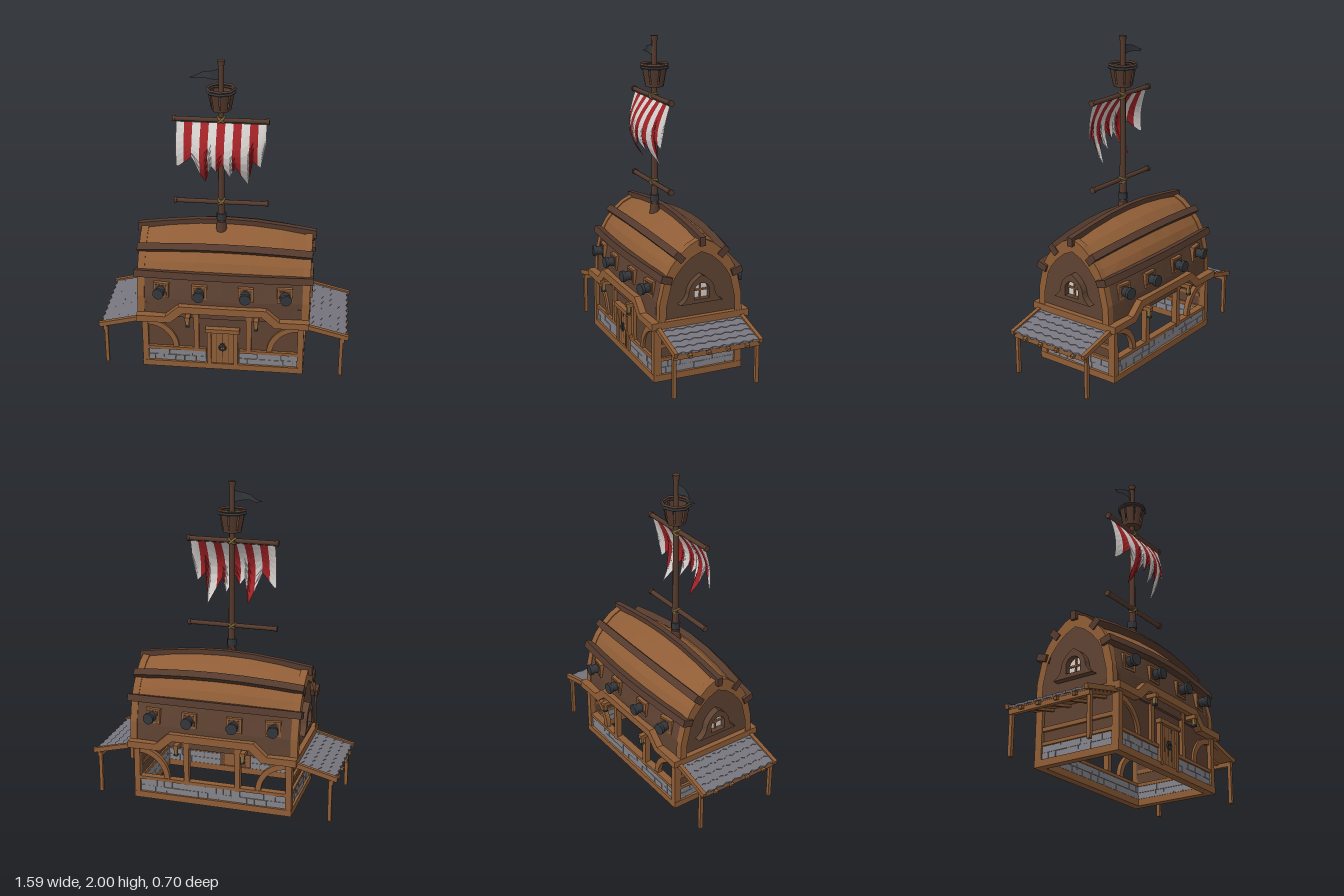
import * as THREE from 'three';

const mat = (name, color) => Object.assign(new THREE.MeshStandardMaterial({ color }), { name });

export function createModel() {
  const root = new THREE.Group();
  root.name = 'shipTavern';
  const M = {
    tan: mat('oakTrim', 0x8f5d36), wall: mat('darkPlank', 0x5e4232), beam: mat('darkBeam', 0x553a2d),
    stone: mat('stone', 0x85848a), mortar: mat('mortar', 0x55545a), tile: mat('slate', 0x77757d),
    iron: mat('iron', 0x33373b), red: mat('redCloth', 0xa02226), white: mat('paleCloth', 0xd2cecb),
    gold: mat('brass', 0x857040),
  };
  for (const m of [M.red, M.white, M.iron, M.beam]) m.side = THREE.DoubleSide;

  const add = (name, geo, m, x = 0, y = 0, z = 0) => {
    const mesh = new THREE.Mesh(geo, m);
    mesh.name = name;
    mesh.position.set(x, y, z);
    root.add(mesh);
    return mesh;
  };
  // box given by its min and max corners
  const box = (name, m, x0, x1, y0, y1, z0, z1) =>
    add(name, new THREE.BoxGeometry(Math.abs(x1 - x0), y1 - y0, Math.abs(z1 - z0)), m, (x0 + x1) / 2, (y0 + y1) / 2, (z0 + z1) / 2);
  const cyl = (name, m, r0, r1, h, x, y, z, n = 8) =>
    add(name, new THREE.CylinderGeometry(r0, r1, h, n).toNonIndexed(), m, x, y, z);
  const flat = (g) => { g.computeVertexNormals(); return g; };
  const shape = (pts) => new THREE.Shape(pts.map(([x, y]) => new THREE.Vector2(x, y)));
  const extrude = (s, depth) => new THREE.ExtrudeGeometry(s, { depth, bevelEnabled: false, curveSegments: 8 });
  const faces = (tris) => flat(new THREE.BufferGeometry().setFromPoints(tris));

  // solid through rings of points that run counter-clockwise seen from +x
  const loft = (rings) => {
    const t = [], n = rings[0].length, last = rings[rings.length - 1];
    for (let k = 0; k + 1 < rings.length; k++) for (let i = 0; i < n; i++) {
      const a = rings[k], b = rings[k + 1], j = (i + 1) % n;
      t.push(a[i], a[j], b[i], a[j], b[j], b[i]);
    }
    for (let i = 1; i + 1 < n; i++) t.push(last[0], last[i], last[i + 1], rings[0][0], rings[0][i + 1], rings[0][i]);
    return faces(t);
  };

  // upturned hull: half profile [z, y] at the ends and amidships
  const END = [[0, .865], [.075, .83], [.14, .775], [.19, .715], [.225, .65], [.26, .5], [.265, .37]];
  const MID = [[0, .92], [.1, .88], [.18, .815], [.235, .745], [.265, .67], [.287, .5], [.287, .37]];
  const half = (x) => {
    const w = Math.max(0, 1 - (x / .53) ** 2);
    return END.map(([z, y], i) => [z + (MID[i][0] - z) * w, y + (MID[i][1] - y) * w]);
  };
  const xs = [-1, -.7, -.33, 0, .33, .7, 1];
  const ring = (x, from, to) => {
    const h = half(x).slice(from, to);
    const left = h.map(([z, y]) => new THREE.Vector3(x, y, z));
    const right = h.filter(([z]) => z > 0).reverse().map(([z, y]) => new THREE.Vector3(x, y, -z));
    return [...left, ...right];
  };
  add('hullRoof', loft(xs.map((k) => ring(k * .505, 0, 5))), M.tan);
  add('hullSides', loft(xs.map((k) => ring(k * .505, 4, 7))), M.wall);

  // stringers following the hull
  const stringer = (i, s, len, out, wid) => loft(xs.map((k) => {
    const h = half(k * len), p = h[i];
    const a = i ? h[i - 1] : [-h[1][0], h[1][1]], b = h[i + 1];
    const d = Math.hypot(b[0] - a[0], b[1] - a[1]), tz = (b[0] - a[0]) / d, ty = (b[1] - a[1]) / d;
    const c = [[out, -1], [out, 1], [-.03, 1], [-.03, -1]].map(([n, t]) =>
      new THREE.Vector3(k * len, p[1] + tz * n + ty * t * wid, s * (p[0] - ty * n + tz * t * wid)));
    return s > 0 ? c : c.reverse();
  }));
  add('ridgeBeam', stringer(0, 1, .565, .025, .018), M.beam);
  for (const s of [1, -1]) {
    add('upperStringer', stringer(2, s, .55, .04, .022), M.beam);
    add('lowerStringer', stringer(4, s, .56, .04, .022), M.beam);
  }

  // gable ends with arch trim and window
  const full = (k, lift = 0) => {
    const h = END.map(([z, y]) => [z * k, .37 + (y - .37) * k + lift]);
    return [...h, ...h.slice(1).reverse().map(([z, y]) => [-z, y])];
  };
  const frame = new THREE.Shape();
  frame.moveTo(-.14, .48);
  frame.quadraticCurveTo(-.085, .51, -.085, .56);
  frame.quadraticCurveTo(-.07, .62, 0, .655);
  frame.quadraticCurveTo(.07, .62, .085, .56);
  frame.quadraticCurveTo(.085, .51, .14, .48);
  const pane = new THREE.Shape();
  pane.moveTo(-.05, .505);
  pane.lineTo(.05, .505);
  pane.lineTo(.05, .555);
  pane.absarc(0, .555, .05, 0, Math.PI);
  frame.holes.push(pane);
  const arch = shape(full(1.03));
  arch.holes.push(new THREE.Path(full(.86).map(([x, y]) => new THREE.Vector2(x, y))));
  for (const s of [1, -1]) {
    const end = (name, geo, m, x) => { add(name, geo, m, s * x).rotation.y = s * Math.PI / 2; };
    end('gableWall', extrude(shape(full(.98)), .012), M.wall, .5);
    end('gableArch', extrude(arch, .045), M.tan, .497);
    end('windowFrame', extrude(frame, .045), M.wall, .51);
    end('windowPane', extrude(pane, .005), M.white, .515);
    box('windowMullion', M.tan, s * .518, s * .53, .505, .605, -.005, .005);
    box('windowBar', M.tan, s * .518, s * .53, .55, .56, -.05, .05);
  }

  // ground floor walls, open at the back and without a floor
  box('frontWall', M.wall, -.49, .49, .03, .46, .25, .268);
  let seed = 7;
  const rnd = () => (seed = (seed * 16807) % 2147483647) / 2147483647;
  // staggered stone courses along a wall; place(a0, a1, y0, y1, bulge) puts one block
  const stones = (a, b, place) => {
    for (let row = 0; row < 2; row++) for (let p = a; p < b - .005;) {
      let q = p + .045 + rnd() * .04;
      if (b - q < .03) q = b;
      place(p + .001, q - .001, .043 + row * .041, .082 + row * .041, rnd() * .006);
      p = q;
    }
  };
  for (const s of [1, -1]) {
    const spans = s > 0 ? [[-.48, -.105], [.105, .48]] : [[-.48, .48]];
    for (const [a, b] of spans) {
      box('stoneBacking', M.mortar, a, b, .035, .127, s * .245, s * .272);
      stones(a, b, (p, q, y0, y1, e) => box('stoneBlock', M.stone, p, q, y0, y1, s * .24, s * (.277 + e)));
      box('stoneRail', M.tan, a, b, .125, .146, s * .24, s * .287);
    }
    box('sillBeam', M.tan, -.515, .515, 0, .042, s * .24, s * .293);
    // end wall
    box('endWall', M.wall, s * .475, s * .492, .03, .38, -.26, .26);
    box('endSill', M.tan, s * .465, s * .515, 0, .042, -.24, .24);
    stones(-.25, .25, (p, q, y0, y1, e) => box('stoneBlock', M.stone, s * .465, s * (.498 + e), y0, y1, p, q));
    box('endRail', M.tan, s * .465, s * .508, .125, .146, -.25, .25);
    box('endUpperRail', M.tan, s * .47, s * .508, .21, .235, -.25, .25);
    box('endEave', M.tan, s * .49, s * .545, .345, .39, -.32, .32);
    // eave board that steps up over the middle
    const eave = [[-.545, .347], [-.33, .347], [-.25, .42], [.25, .42], [.33, .347], [.545, .347],
      [.545, .39], [.36, .39], [.275, .468], [-.275, .468], [-.36, .39], [-.545, .39]];
    add('eaveBoard', extrude(shape(eave), .05), M.tan, 0, 0, s > 0 ? .27 : -.32);
    for (const t of [1, -1]) {
      box('cornerPost', M.tan, t * .475, t * .513, .03, .36, s * .245, s * .292);
      box('wallPost', M.tan, t * .15, t * .183, s > 0 ? .14 : .12, .43, s * .25, s * .288);
      // curved brace
      const br = new THREE.Shape();
      br.absarc(0, 0, .2, Math.PI / 2, Math.PI, false);
      br.absarc(0, 0, .165, Math.PI, Math.PI / 2, true);
      const b = add('curvedBrace', extrude(br, .03), M.tan, t * .48, .14, s > 0 ? .252 : -.282);
      if (t < 0) { b.rotation.y = Math.PI; b.position.z += .03; }
      // lantern on a stub beam
      box('lanternBeam', M.tan, t * .2, t * .23, .385, .41, s * .25, s * .352);
      box('lantern', M.gold, t * .205, t * .225, .35, .385, s * .325, s * .345);
      box('lanternBase', M.iron, t * .203, t * .227, .338, .35, s * .323, s * .347);
      // gun ports
      for (const [x, yaw] of [[.145, 0], [.385, .18]]) {
        const g = new THREE.Group();
        g.name = 'cannon';
        g.position.set(t * x, .56, s * (x < .2 ? .272 : .257));
        g.rotation.y = (s > 0 ? 0 : Math.PI) + s * t * yaw;
        const part = (name, geo, m, z, turn) => {
          const p = new THREE.Mesh(geo, m);
          p.name = name;
          p.position.z = z;
          if (turn) p.rotation.x = Math.PI / 2;
          g.add(p);
        };
        part('portFrame', new THREE.BoxGeometry(.096, .096, .04), M.tan, 0);
        part('portHatch', new THREE.BoxGeometry(.072, .072, .006), M.wall, .02);
        part('barrel', new THREE.CylinderGeometry(.027, .032, .09, 10), M.iron, .03, true);
        part('muzzle', new THREE.CylinderGeometry(.036, .036, .02, 10), M.iron, .07, true);
        root.add(g);
      }
    }
  }

  // door
  box('door', M.tan, -.075, .075, .03, .28, .25, .284);
  for (const x of [-.085, .085]) box('doorJamb', M.tan, x - .013, x + .013, .03, .285, .25, .294);
  box('doorLintel', M.tan, -.108, .108, .278, .305, .25, .305);
  for (const x of [-.037, 0, .037]) box('doorGap', M.beam, x - .002, x + .002, .045, .275, .28, .2855);
  add('doorRing', new THREE.TorusGeometry(.02, .006, 6, 10), M.iron, 0, .163, .292);
  box('doorKnocker', M.iron, -.012, .012, .17, .192, .28, .296);

  // side awnings with zigzag slate rows
  const tilt = Math.atan2(.07, .28);
  for (const s of [1, -1]) {
    const g = new THREE.Group();
    g.name = 'awning';
    g.rotation.y = s > 0 ? 0 : Math.PI;
    const put = (name, geo, m, x, y, z, rz = 0) => {
      const p = new THREE.Mesh(geo, m);
      p.name = name;
      p.position.set(x, y, z);
      p.rotation.z = rz;
      g.add(p);
      return p;
    };
    for (let r = 0; r < 5; r++) {
      const pts = [[0, -.265], [.07, -.265]];
      for (let i = 1; i < 16; i++) pts.push([.07 - (i % 2) * .014, -.265 + i * .53 / 16]);
      pts.push([.07, .265], [0, .265]);
      const geo = extrude(shape(pts), .013);
      geo.rotateX(-Math.PI / 2);
      put('slateRow', geo, M.tile, .5 + r * .054, .343 - r * .0135, 0, -tilt + .06);
    }
    put('awningBoard', new THREE.BoxGeometry(.28, .008, .53), M.tan, .635, .308, 0, -tilt);
    for (const z of [-.275, .275]) {
      put('awningEdge', new THREE.BoxGeometry(.305, .03, .024), M.tan, .645, .318, z, -tilt);
      put('awningPost', new THREE.BoxGeometry(.022, .27, .022), M.tan, .75, .135, z * .98);
    }
    for (const z of [-.19, -.065, .06, .18])
      put('rafter', new THREE.BoxGeometry(.3, .02, .02), M.tan, .645, .295, z, -tilt);
    put('awningBeam', new THREE.BoxGeometry(.026, .028, .56), M.tan, .755, .256, 0);
    root.add(g);
  }

  // mast and yards
  const mx = -.03, mz = .053;
  cyl('mast', M.beam, .016, .022, 1.14, mx, 1.43, mz);
  cyl('mastFoot', M.beam, .028, .037, .08, mx, .91, mz);
  cyl('mastCollar', M.iron, .03, .03, .045, mx, .985, mz);
  cyl('mastCap', M.beam, .023, .02, .03, mx, 1.985, mz);
  for (const y of [1.09, 1.632]) {
    const z = mz + .015;
    cyl('yard', M.beam, .015, .015, .57, mx, y, z).rotation.z = Math.PI / 2;
    for (const s of [1, -1]) {
      cyl('yardCap', M.beam, .02, .02, .016, mx + s * .283, y, z).rotation.z = Math.PI / 2;
      const knot = add('yardLashing', new THREE.TorusGeometry(.027, .007, 5, 8), M.gold, mx, y, mz + .006);
      knot.rotation.set(Math.PI / 2, s * .7, 0);
    }
  }

  // crow's nest
  cyl('nestFloor', M.beam, .062, .056, .02, mx, 1.7, mz);
  for (let i = 0; i < 8; i++) {
    const a = (i + .08) * Math.PI / 4;
    add('nestStave', new THREE.CylinderGeometry(.085, .06, .135, 1, 1, true, a, Math.PI / 4 * .84), M.beam, mx, 1.762, mz);
  }
  const rim = (y, r, m) => { add('nestHoop', flat(new THREE.TorusGeometry(r, .009, 4, 8).toNonIndexed()), m, mx, y, mz).rotation.x = Math.PI / 2; };
  rim(1.825, .084, M.beam);
  rim(1.808, .085, M.iron);

  // ragged striped sail
  const hem = [[-.3, 1.34], [-.285, 1.34], [-.2, 1.42], [-.125, 1.23], [-.08, 1.37], [-.05, 1.33], [-.015, 1.39],
    [.028, 1.28], [.065, 1.37], [.135, 1.215], [.17, 1.4], [.215, 1.35], [.245, 1.5]];
  const hemAt = (x) => {
    const i = Math.max(1, hem.findIndex((h) => h[0] >= x - 1e-6));
    const [a, b] = [hem[i - 1], hem[i]];
    return a[1] + (b[1] - a[1]) * (x - a[0]) / (b[0] - a[0]);
  };
  const sailPoint = (x, t) => {
    const y = 1.615 - t * (1.615 - hemAt(x)), v = (1.615 - y) / .4;
    const side = 1 - .65 * ((x + .03) / .28) ** 2;
    return new THREE.Vector3(x, y, .072 + .105 * side * Math.sin(Math.PI * Math.min(v, 1.05)));
  };
  const W = .545 / 11, rows = 7;
  for (let k = 0; k < 11; k++) {
    const x0 = -.3 + k * W, x1 = x0 + W, t = [];
    const cuts = [x0, ...hem.map((h) => h[0]).filter((x) => x > x0 + .002 && x < x1 - .002), x1];
    for (let c = 0; c + 1 < cuts.length; c++) for (let r = 0; r < rows; r++) {
      const p = (x, q) => sailPoint(Math.min(x, .245), q / rows);
      const a = p(cuts[c], r), b = p(cuts[c + 1], r), d = p(cuts[c], r + 1), e = p(cuts[c + 1], r + 1);
      t.push(a, d, b, b, d, e);
    }
    add('sailStripe', faces(t), k % 2 ? M.red : M.white);
  }

  // pennant
  const f = [[0, 1.945, 1.875], [-.05, 1.935, 1.885], [-.1, 1.925, 1.89], [-.14, 1.9, 1.88], [-.175, 1.888, 1.884]];
  const tri = [];
  for (let i = 0; i + 1 < f.length; i++) {
    const p = (j, k) => new THREE.Vector3(mx - .012 + f[j][0], f[j][k], mz + .012 * Math.sin(j * 1.5));
    tri.push(p(i, 1), p(i + 1, 1), p(i, 2), p(i, 2), p(i + 1, 1), p(i + 1, 2));
  }
  add('pennant', faces(tri), M.iron);
  return root;
}
